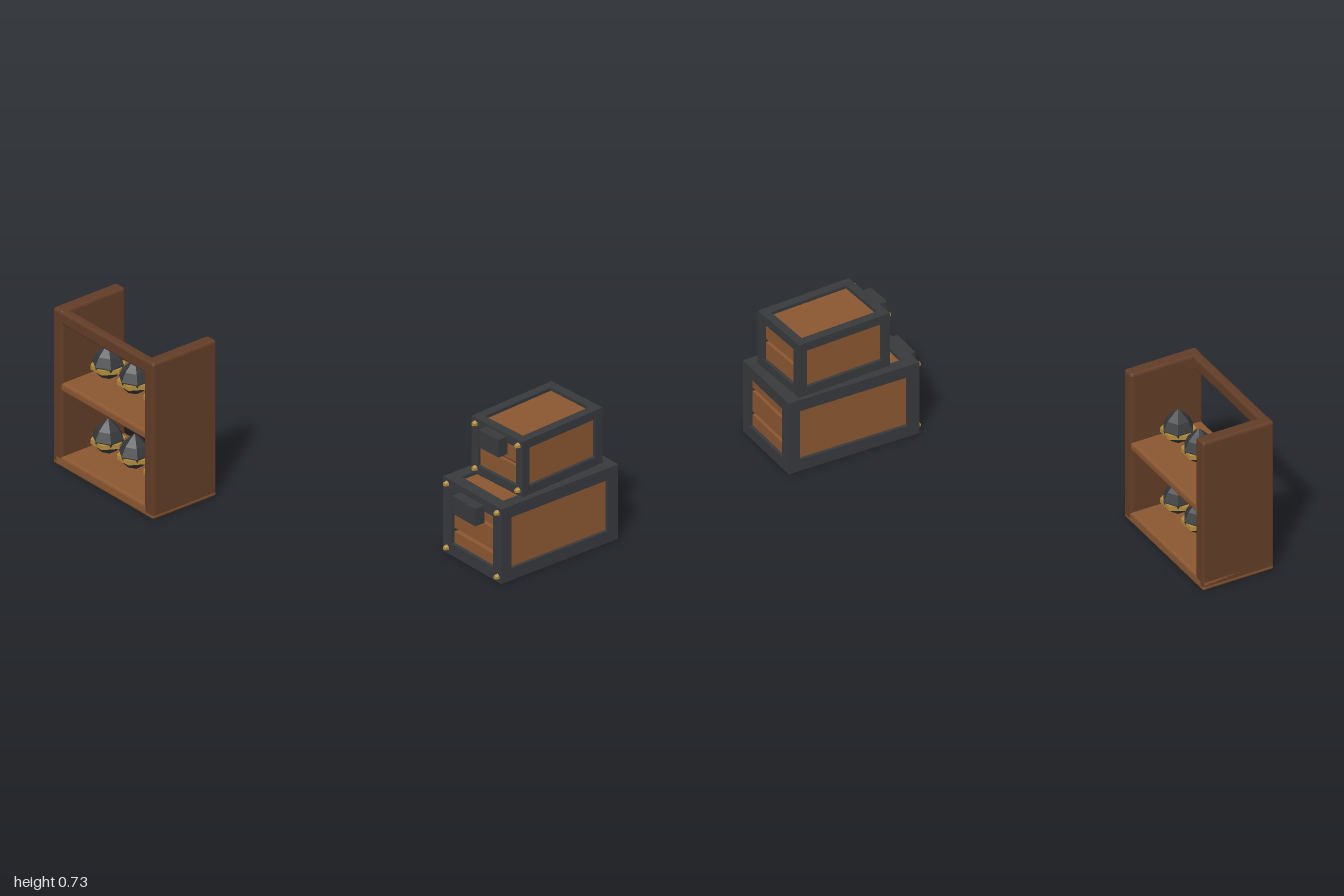
import * as THREE from 'three';
import { RoundedBoxGeometry } from 'three/addons/geometries/RoundedBoxGeometry.js';

const paint = (color) => new THREE.MeshStandardMaterial({ color, flatShading: true });
const wood = paint(0x8b5731);
const darkWood = paint(0x623d27);
const iron = paint(0x37393c);
const gold = paint(0xb08a3c);

function add(parent, name, geometry, material, x = 0, y = 0, z = 0) {
  const mesh = new THREE.Mesh(geometry, material);
  mesh.name = name;
  mesh.position.set(x, y, z);
  parent.add(mesh);
  return mesh;
}

const box = (parent, name, material, w, h, d, x, y, z) =>
  add(parent, name, new THREE.BoxGeometry(w, h, d), material, x, y, z);

// Board with chamfered edges
const board = (parent, name, material, w, h, d, x, y, z) =>
  add(parent, name, new RoundedBoxGeometry(w, h, d, 1, 0.01), material, x, y, z);

// Faceted pointed pot with a hexagonal gold band
function createPot() {
  const pot = new THREE.Group();
  pot.name = 'pot';
  const profile = [[0, 0], [0.034, 0.012], [0.062, 0.042], [0.07, 0.072], [0.05, 0.112], [0.022, 0.142], [0, 0.16]]
    .map(([r, y]) => new THREE.Vector2(r, y));
  add(pot, 'potBody', new THREE.LatheGeometry(profile, 6), iron);
  const band = add(pot, 'potBand', new THREE.CylinderGeometry(0.075, 0.075, 0.02, 6), gold, 0, 0.057, 0);
  band.rotation.y = Math.PI / 6;
  return pot;
}

function createShelf() {
  const shelf = new THREE.Group();
  shelf.name = 'shelf';
  const W = 0.655, D = 0.34;
  for (const s of [-1, 1]) board(shelf, 'sidePanel', darkWood, 0.06, 0.722, D, s * (W / 2 - 0.03), 0.369, 0);
  board(shelf, 'bottomBoard', wood, W, 0.05, D, 0, 0.025, 0);
  board(shelf, 'middleBoard', wood, W - 0.004, 0.04, D - 0.004, 0, 0.375, 0);
  board(shelf, 'topRail', darkWood, W - 0.002, 0.06, 0.042, 0, 0.699, D / 2 - 0.022);
  // Two rows of three pots
  for (const y of [0.054, 0.404]) {
    for (const x of [-0.173, 0, 0.173]) {
      const pot = createPot();
      pot.position.set(x, y, 0);
      shelf.add(pot);
    }
  }
  return shelf;
}

// Iron-framed crate standing on y = 0, with slatted front and back
function createCrate(name, w, h, d, t, slats, lock) {
  const crate = new THREE.Group();
  crate.name = name;
  const X = (w - t) / 2, Y = (h - t) / 2, Z = (d - t) / 2, mid = h / 2;

  // Frame bars
  for (const a of [-1, 1]) {
    for (const b of [-1, 1]) {
      box(crate, 'framePost', iron, t, h, t, a * X, mid, b * Z);
      box(crate, 'frameCrossBar', iron, w - 2 * t, t, t, 0, mid + a * Y, b * Z);
      box(crate, 'frameLongBar', iron, t, t, d - 2 * t, a * X, mid + b * Y, 0);
    }
  }

  // Recessed panels
  const inset = 0.015;
  box(crate, 'panels', wood, w - 2 * inset, h - 2 * inset, d - 2 * t, 0, mid, 0);
  const gap = 0.018, pitch = h / slats;
  for (const s of [-1, 1]) {
    box(crate, 'backing', darkWood, w - 2 * t, h - 2 * t, 0.01, 0, mid, s * (d / 2 - t + 0.004));
    for (let i = 0; i < slats; i++) {
      const low = i === 0 ? t : i * pitch + gap / 2;
      const high = i === slats - 1 ? h - t : (i + 1) * pitch - gap / 2;
      box(crate, 'slat', wood, w - 2 * t, high - low, t - inset, 0, (low + high) / 2, s * (d / 2 - inset - (t - inset) / 2));
    }
  }

  // Studs and lock on the front
  for (const a of [-1, 1]) {
    for (const b of [-1, 1]) {
      const stud = add(crate, 'stud', new THREE.CylinderGeometry(0.009, 0.014, 0.016, 6), gold,
        a * (w / 2 - 0.025), mid + b * (mid - 0.025), d / 2 + 0.008);
      stud.rotation.x = Math.PI / 2;
    }
  }
  box(crate, 'lock', iron, lock.w, 0.082, 0.05, 0, lock.y, d / 2 + 0.022);
  return crate;
}

export function createModel() {
  const model = new THREE.Group();
  model.name = 'storageSet';

  const shelf = createShelf();
  shelf.position.set(-0.6725, 0, 0.52);

  const lower = createCrate('lowerCrate', 0.38, 0.35, 0.625, 0.055, 3, { w: 0.15, y: 0.28 });
  lower.position.set(0.81, 0, -0.3825);

  const upper = createCrate('upperCrate', 0.313, 0.26, 0.45, 0.04, 2, { w: 0.125, y: 0.208 });
  upper.position.set(0.805, 0.35, -0.42);
  upper.rotation.y = 0.055;

  model.add(shelf, lower, upper);
  return model;
}
